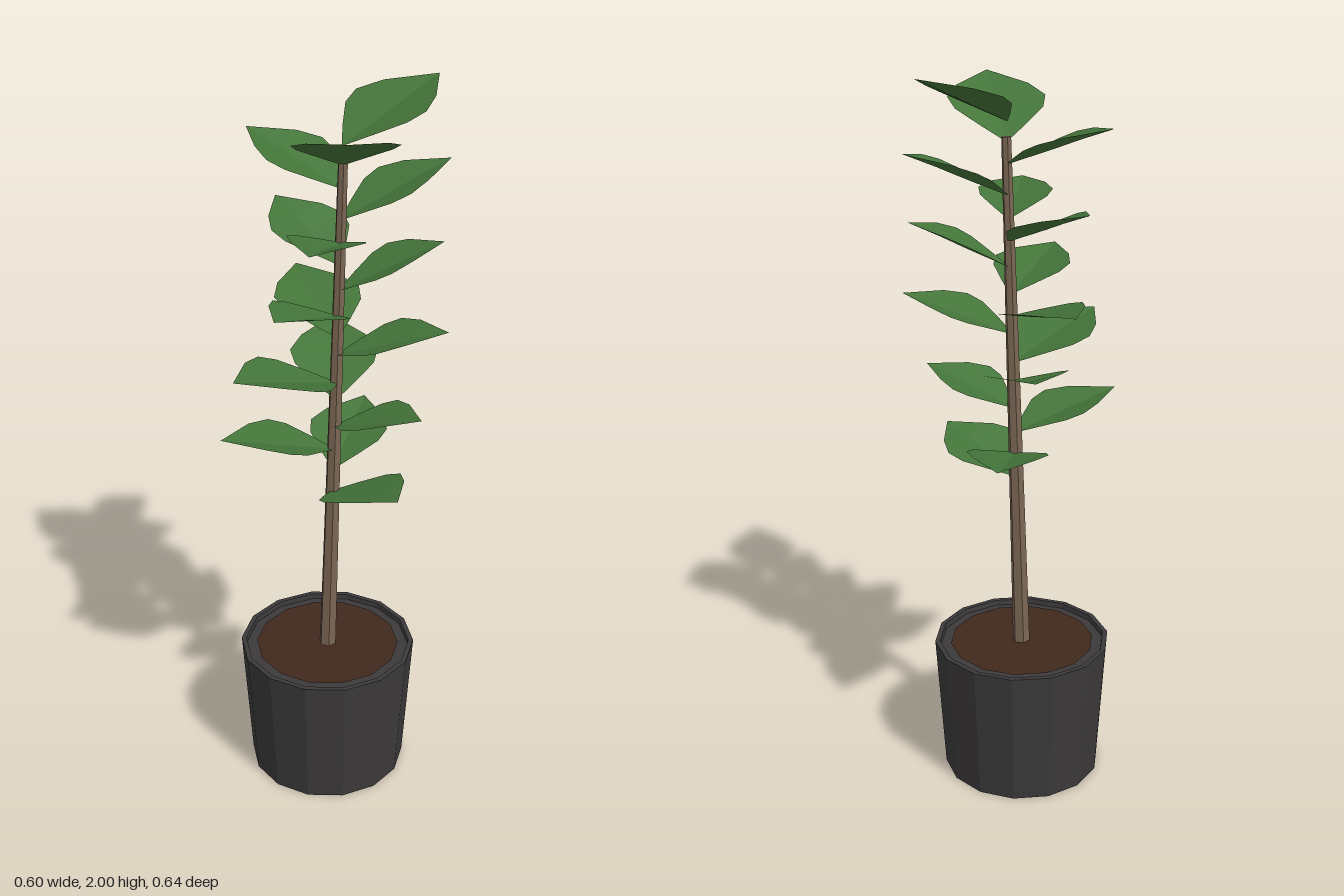
import * as THREE from 'three';

const mat = (color) => new THREE.MeshStandardMaterial({ color, flatShading: true, side: THREE.DoubleSide });

// Centre line of the slightly leaning stem
const STEM_BOTTOM = new THREE.Vector3(0.011, 0.36, 0.01);
const STEM_TOP = new THREE.Vector3(0.041, 1.83, -0.015);
const stemPoint = (y) => {
  const t = Math.min(1, (y - STEM_BOTTOM.y) / (STEM_TOP.y - STEM_BOTTOM.y));
  return STEM_BOTTOM.clone().lerp(STEM_TOP, t).setY(y);
};

// Leaf outline: [fraction of length, fraction of half width]
const OUTLINE = [[0, 0.04], [0.15, 0.45], [0.33, 0.89], [0.48, 1], [0.68, 0.74], [1, 0]];

// Leaf blade from base to tip, folded up along its midrib and gently arched
function leafGeometry(base, tip, halfWidth) {
  const dir = tip.clone().sub(base);
  const side = new THREE.Vector3(-dir.z, 0, dir.x).normalize();
  const pos = [], index = [];
  OUTLINE.forEach(([t, w], i) => {
    const mid = base.clone().addScaledVector(dir, t);
    mid.y += 0.012 * Math.sin(Math.PI * t) - 0.012 * w;
    for (const s of [-1, 0, 1]) {
      const p = mid.clone().addScaledVector(side, s * w * halfWidth);
      p.y += Math.abs(s) * w * 0.025;
      pos.push(p.x, p.y, p.z);
    }
    if (i === 0) return;
    for (const c of [0, 1]) {
      const a = (i - 1) * 3 + c, b = a + 3;
      index.push(a, a + 1, b, a + 1, b + 1, b);
    }
  });
  const g = new THREE.BufferGeometry();
  g.setAttribute('position', new THREE.Float32BufferAttribute(pos, 3));
  g.setIndex(index);
  g.computeVertexNormals();
  return g;
}

// Leaves up the stem: [base height, tip x, tip y, tip z, half width]
const LEAVES = [
  [0.90, 0.30, 0.99, 0.00, 0.13],
  [0.97, -0.17, 1.04, -0.26, 0.11],
  [1.03, -0.07, 1.11, 0.30, 0.11],
  [1.10, 0.28, 1.19, -0.09, 0.11],
  [1.18, -0.245, 1.28, -0.20, 0.12],
  [1.23, 0.03, 1.32, 0.32, 0.135],
  [1.31, 0.27, 1.41, -0.18, 0.12],
  [1.36, -0.30, 1.44, -0.115, 0.12],
  [1.42, 0.125, 1.50, 0.258, 0.11],
  [1.49, 0.19, 1.62, -0.225, 0.11],
  [1.56, -0.245, 1.67, -0.01, 0.115],
  [1.62, 0.205, 1.68, 0.21, 0.10],
  [1.68, 0.13, 1.81, -0.29, 0.115],
  [1.76, -0.24, 1.87, 0.08, 0.12],
  [1.82, 0.295, 1.96, 0.163, 0.13],
  [1.87, 0.04, 2.00, -0.32, 0.136],
];

export function createModel() {
  const model = new THREE.Group();
  const add = (name, geometry, material, parent = model) => {
    const mesh = new THREE.Mesh(geometry, material);
    mesh.name = name;
    parent.add(mesh);
    return mesh;
  };

  // Tapered pot with a shallow recess for the soil
  const potProfile = [[0, 0], [0.225, 0], [0.25, 0.4], [0.236, 0.4], [0.234, 0.385], [0, 0.385]];
  const pot = add('pot', new THREE.LatheGeometry(
    potProfile.map(([r, y]) => new THREE.Vector2(r, y)), 14, Math.PI / 2), mat(0x3b3939));
  pot.position.set(0.01, 0, 0.01);

  // Soil
  const soil = add('soil', new THREE.CircleGeometry(0.205, 14).rotateX(-Math.PI / 2), mat(0x41291d));
  soil.position.set(0.01, 0.391, 0.01);

  // Stem: tapered, sheared to follow its lean
  const height = STEM_TOP.y - STEM_BOTTOM.y;
  const stemGeo = new THREE.CylinderGeometry(0.013, 0.025, height, 6, 5);
  const p = stemGeo.attributes.position;
  for (let i = 0; i < p.count; i++) {
    const c = stemPoint(p.getY(i) + STEM_BOTTOM.y + height / 2);
    p.setXYZ(i, p.getX(i) + c.x, c.y, p.getZ(i) + c.z);
  }
  stemGeo.computeVertexNormals();
  add('stem', stemGeo, mat(0x7a6552));

  // Foliage
  const foliage = new THREE.Group();
  foliage.name = 'foliage';
  model.add(foliage);
  const green = mat(0x44753a);
  LEAVES.forEach(([y, tx, ty, tz, halfWidth], i) => {
    add(`leaf${i + 1}`, leafGeometry(stemPoint(y), new THREE.Vector3(tx, ty, tz), halfWidth), green, foliage);
  });
  return model;
}
